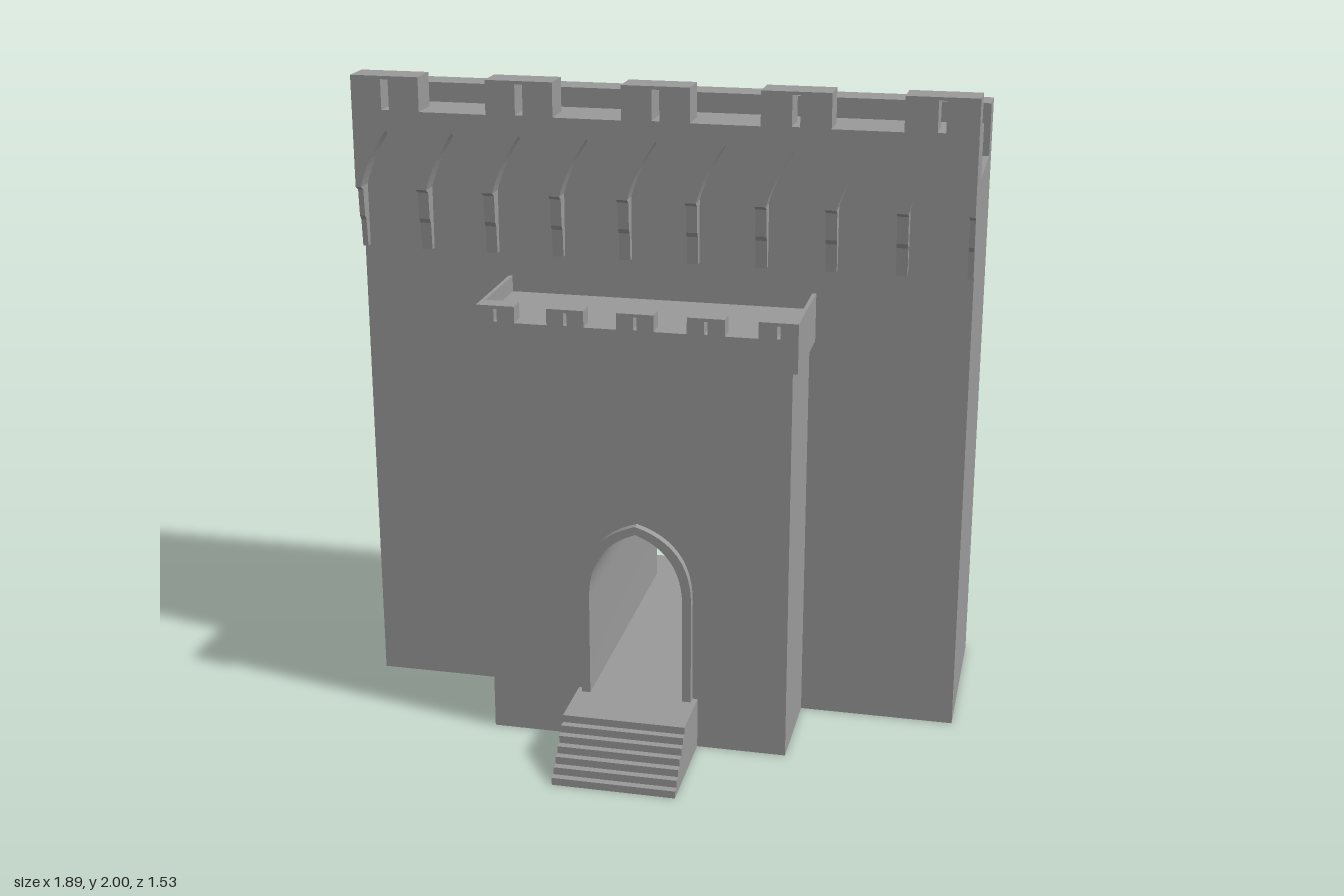
import * as THREE from 'three';
import { toCreasedNormals } from 'three/addons/utils/BufferGeometryUtils.js';

const material = new THREE.MeshStandardMaterial({ color: 0x9a9a9a, side: THREE.DoubleSide });
const W = 0.945, WALL_F = 0.12, WALL_B = -0.447;   // main wall
const GW = 0.463, GATE_F = 0.44, GATE_TOP = 1.335; // gatehouse
const FLOOR = 0.162;                               // passage floor level

const v2 = (pts) => pts.map(([x, y]) => new THREE.Vector2(x, y));
const rect = (x0, x1, y0, y1) => [[x0, y0], [x1, y0], [x1, y1], [x0, y1]];

function shapeOf(pts, hole) {
  const shape = new THREE.Shape(v2(pts));
  if (hole) shape.holes.push(new THREE.Path(v2(hole)));
  return shape;
}

function add(parent, name, geometry) {
  const mesh = new THREE.Mesh(geometry, material);
  mesh.name = name;
  parent.add(mesh);
}

// Flat panel facing +z or -z (outlines are symmetric in x)
function panel(pts, hole, z, sign) {
  const g = new THREE.ShapeGeometry(shapeOf(pts, hole));
  if (sign < 0) g.rotateY(Math.PI);
  return g.translate(0, 0, z);
}

// Flat panel facing +x or -x, outlined by (z, y) points
function sidePanel(pts, x) {
  const s = Math.sign(x);
  const g = new THREE.ShapeGeometry(shapeOf(pts.map(([z, y]) => [-s * z, y])));
  return g.rotateY(s * Math.PI / 2).translate(x, 0, 0);
}

// Open strip made by sweeping a polyline of [x, y, z] points by an offset
function ribbon(pts, [dx, dy, dz]) {
  const pos = [];
  for (let i = 0; i + 1 < pts.length; i++) {
    const a = pts[i], b = pts[i + 1];
    const c = [b[0] + dx, b[1] + dy, b[2] + dz], d = [a[0] + dx, a[1] + dy, a[2] + dz];
    pos.push(...a, ...b, ...c, ...a, ...c, ...d);
  }
  const g = new THREE.BufferGeometry();
  g.setAttribute('position', new THREE.Float32BufferAttribute(pos, 3));
  g.computeVertexNormals();
  return g;
}

// Sweep a (z, y) profile, drawn front to back, across the width
const acrossX = (pts, w) => ribbon(pts.map(([z, y]) => [w, y, z]), [-2 * w, 0, 0]);

function slab(pts, z0, z1, hole) {
  return new THREE.ExtrudeGeometry(shapeOf(pts, hole), { depth: z1 - z0, bevelEnabled: false })
    .translate(0, 0, z0);
}

// Pointed doorway outline, from the left foot over the apex to the right foot
function doorway(w, spring, apex) {
  const curve = new THREE.QuadraticBezierCurve(
    ...v2([[-w, spring], [-w, apex - 0.05], [0, apex]]));
  const half = [[-w, FLOOR], ...curve.getPoints(12).map((p) => [p.x, p.y])];
  return [...half, ...half.slice(0, -1).reverse().map(([x, y]) => [-x, y])];
}

// Merlon with an arrow slit through it
function merlon(x0, x1, y0, y1, z0, z1, slit) {
  const c = (x0 + x1) / 2;
  return slab(rect(x0, x1, y0, y1), z0, z1, rect(c - slit, c + slit, y0 + 0.002, y1 - 0.01));
}

function createModel() {
  const model = new THREE.Group();
  model.name = 'castleGate';
  const door = doorway(0.145, 0.48, 0.7);

  // Main wall: open-bottomed shell with a sunken walkway on top
  const wall = new THREE.Group();
  wall.name = 'mainWall';
  model.add(wall);
  const top = [[WALL_F, 1.895], [0, 1.895], [0, 1.73], [-0.34, 1.73], [-0.34, 1.895], [WALL_B, 1.895]];
  add(wall, 'wallTop', acrossX(top, W));
  add(wall, 'wallBack', panel(rect(-W, W, 0, 1.895), door, WALL_B, -1));
  add(wall, 'wallFront', panel([[-W, 0], [-GW, 0], [-GW, GATE_TOP], [GW, GATE_TOP], [GW, 0],
    [W, 0], [W, 1.895], [-W, 1.895]], null, WALL_F, 1));
  for (const s of [-1, 1])
    add(wall, 'wallSide', sidePanel([[WALL_F, 0], ...top, [WALL_B, 0]], s * W));

  // Overhanging arcade of pointed arches
  const pitch = 2 * W / 9, half = 0.017, outline = [[W, 1.895], [-W, 1.895], [-W, 1.655]];
  for (let i = 0; i < 9; i++) {
    const c = -W + (i + 0.5) * pitch, r = pitch / 2 - half;
    const rise = new THREE.QuadraticBezierCurve(
      ...v2([[-r, 1.655], [-r * 0.72, 1.745], [0, 1.835]])).getPoints(8);
    outline.push(...rise.map((p) => [c + p.x, p.y]));
    outline.push(...rise.slice(0, -1).reverse().map((p) => [c - p.x, p.y]));
  }
  outline.push([W, 1.655]);
  add(wall, 'arcade', slab(outline, WALL_F, 0.18));

  // Stepped corbels below the arches, halved at the wall ends
  const corbel = [[0.12, 1.655], [0.18, 1.655], [0.161, 1.643], [0.156, 1.56], [0.146, 1.545],
    [0.14, 1.46], [0.12, 1.46]].map(([z, y]) => [-z, y]);
  for (let i = 0; i <= 9; i++) {
    const c = -W + i * pitch;
    const x0 = Math.max(-W, c - half), x1 = Math.min(W, c + half);
    add(wall, 'corbel', slab(corbel, 0, x1 - x0).rotateY(Math.PI / 2).translate(x0, 0, 0));
  }

  // Wall merlons
  for (let i = -2; i <= 2; i++) {
    const c = i * 0.4175;
    const x0 = i === -2 ? -W : c - 0.104, x1 = i === 2 ? W : c + 0.104;
    add(wall, 'wallMerlon', merlon(x0, x1, 1.895, 2, 0.08, 0.18, 0.012));
  }

  // Gatehouse shell, with parapet walls rising beside its roof
  const gate = new THREE.Group();
  gate.name = 'gatehouse';
  model.add(gate);
  add(gate, 'gateFront', panel(rect(-GW, GW, 0, GATE_TOP), door, GATE_F, 1));
  add(gate, 'gateRoof', acrossX([[GATE_F, GATE_TOP], [WALL_F, GATE_TOP]], 0.468));
  for (const s of [-1, 1]) {
    add(gate, 'gateSide', sidePanel(rect(WALL_F, GATE_F, 0, GATE_TOP), s * GW));
    const parapet = [[GW, 1.235], [0.48, 1.235], [0.48, 1.385], [0.468, 1.385], [0.468, GATE_TOP],
      [GW, GATE_TOP]].map(([x, y]) => [s * x, y]);
    add(gate, 'parapetSide', slab(parapet, WALL_F, 0.455));
  }

  // Parapet front with a wavy lower edge
  const wave = [[0.48, GATE_TOP], [-0.48, GATE_TOP], [-0.48, 1.235]];
  const humps = 9, perHump = 8, length = 0.93;
  for (let k = 0; k <= humps * perHump; k++)
    wave.push([length * (k / (humps * perHump) - 0.5),
      1.25 - 0.015 * Math.cos(2 * Math.PI * k / perHump)]);
  wave.push([0.48, 1.235]);
  add(gate, 'parapetFront', slab(wave, GATE_F, 0.455));
  for (let i = -2; i <= 2; i++) {
    const c = i * 0.21;
    const x0 = i === -2 ? -0.48 : c - 0.056, x1 = i === 2 ? 0.48 : c + 0.056;
    add(gate, 'gateMerlon', merlon(x0, x1, GATE_TOP, 1.385, 0.4, 0.455, 0.005));
  }

  // Vaulted passage and its floor
  const vault = ribbon(door.map(([x, y]) => [x, y, GATE_F]), [0, 0, WALL_B - GATE_F]);
  add(model, 'passageVault', toCreasedNormals(vault, 0.6));
  add(model, 'passageFloor', acrossX([[GATE_F, FLOOR], [WALL_B, FLOOR]], 0.188));

  // Door surrounds and stairs, at the front and back
  const surround = [...doorway(0.172, 0.49, 0.726), ...[...door].reverse()];
  const risers = 7, rise = FLOOR / risers, tread = 0.0227;
  const flight = [];
  for (let i = 0; i < risers; i++) {
    const z = 0.766 - i * tread;
    flight.push([z, i * rise], [z, (i + 1) * rise]);
  }
  flight.push([GATE_F, FLOOR]);
  for (const s of [1, -1]) {
    const end = new THREE.Group();
    end.name = s > 0 ? 'frontEntrance' : 'backEntrance';
    if (s < 0) end.rotation.y = Math.PI;
    model.add(end);
    add(end, 'doorSurround', toCreasedNormals(slab(surround, GATE_F, 0.466), 0.6));
    add(end, 'steps', acrossX(flight, 0.188));
    for (const side of [-1, 1])
      add(end, 'stepSide', sidePanel([...flight, [GATE_F, 0]], side * 0.188));
  }
  return model;
}

export { createModel };
